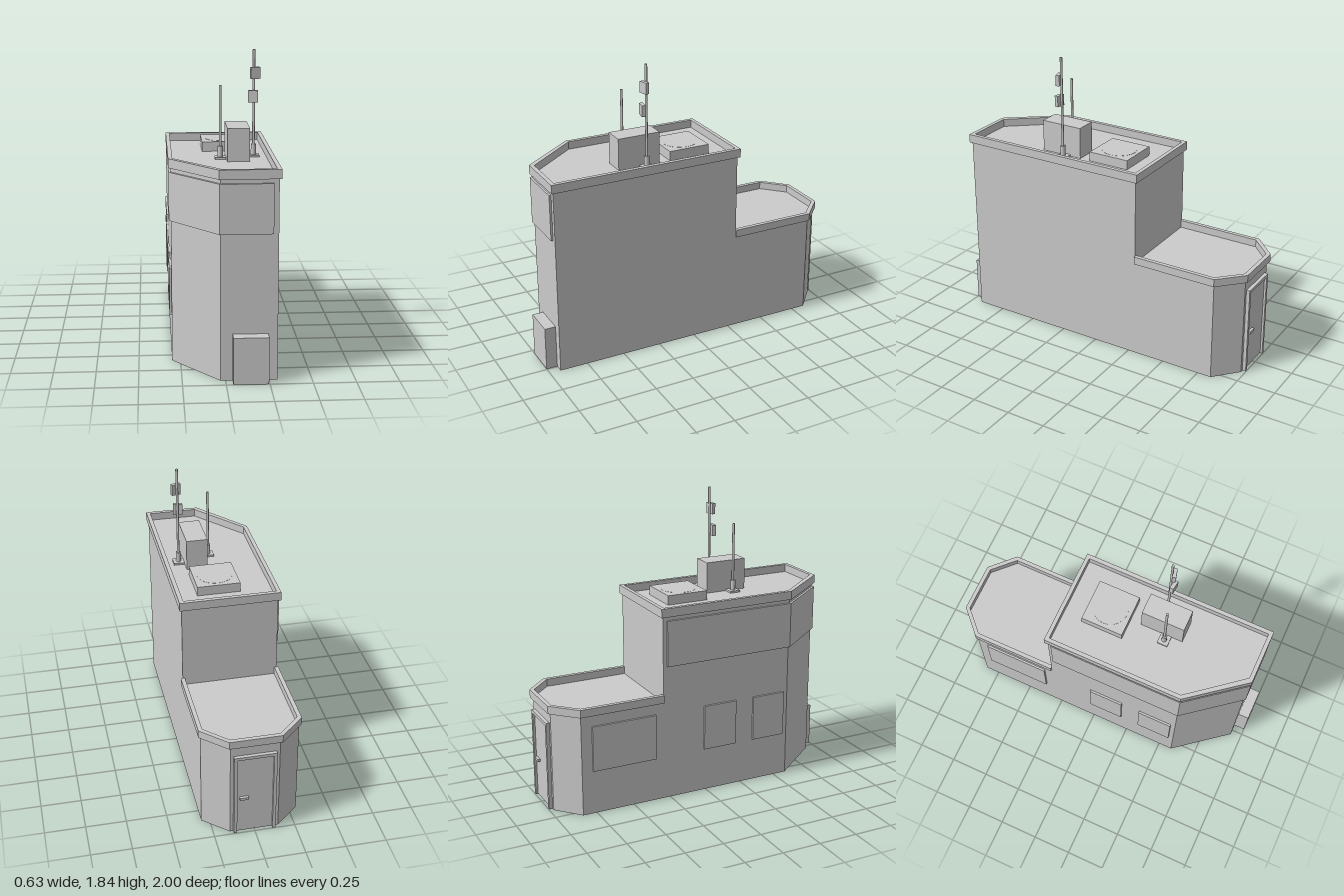
import * as THREE from 'three';

const material = new THREE.MeshStandardMaterial({ color: 0xcccccc, flatShading: true, side: THREE.DoubleSide });
const smooth = new THREE.MeshStandardMaterial({ color: 0xcccccc });

export function createModel() {
  const model = new THREE.Group();

  function add(name, geometry, mat = material, parent = model) {
    const mesh = new THREE.Mesh(geometry, mat);
    mesh.name = name;
    parent.add(mesh);
    return mesh;
  }

  // Box given by its limits on each axis
  function box(name, [x0, x1], [y0, y1], [z0, z1], parent = model) {
    const mesh = add(name, new THREE.BoxGeometry(x1 - x0, y1 - y0, z1 - z0), material, parent);
    mesh.position.set((x0 + x1) / 2, (y0 + y1) / 2, (z0 + z1) / 2);
    return mesh;
  }

  // Plan outlines are [x, z] pairs; shapes are drawn in (x, -z) and laid flat
  const toPoints = (plan) => plan.map(([x, z]) => new THREE.Vector2(x, -z));

  function prism(name, plan, y0, y1, hole) {
    const shape = new THREE.Shape(toPoints(plan));
    if (hole) shape.holes.push(new THREE.Path(toPoints(hole)));
    const geometry = new THREE.ExtrudeGeometry(shape, { depth: y1 - y0, bevelEnabled: false });
    geometry.rotateX(-Math.PI / 2).translate(0, y0, 0);
    return add(name, geometry);
  }

  function deck(name, plan, y) {
    const geometry = new THREE.ShapeGeometry(new THREE.Shape(toPoints(plan)));
    geometry.rotateX(-Math.PI / 2).translate(0, y, 0);
    return add(name, geometry);
  }

  // Single-sheet wall following a closed plan, counter-clockwise from above
  function walls(name, plan, y0, y1) {
    const v = [];
    plan.forEach(([ax, az], i) => {
      const [bx, bz] = plan[(i + 1) % plan.length];
      v.push(ax, y0, az, bx, y0, bz, bx, y1, bz, ax, y0, az, bx, y1, bz, ax, y1, az);
    });
    const geometry = new THREE.BufferGeometry();
    geometry.setAttribute('position', new THREE.Float32BufferAttribute(v, 3));
    geometry.computeVertexNormals();
    return add(name, geometry);
  }

  // Building shell, open underneath
  const front = [[-0.3, 0.59], [-0.03, 0.93], [0.3, 0.93]];
  const rear = [[0.3, -0.84], [0.15, -0.975], [-0.15, -0.975], [-0.3, -0.84]];
  const towerPlan = [...front, [0.3, -0.295], [-0.3, -0.295]];
  walls('lowerWalls', [...front, ...rear], 0, 0.64);
  walls('towerWalls', towerPlan, 0.64, 1.19);
  deck('towerRoof', towerPlan, 1.19);
  deck('terraceFloor', [[0.3, -0.295], ...rear, [-0.3, -0.295]], 0.642);

  // Parapets
  prism('towerParapet',
    [[-0.315, 0.595], [-0.04, 0.943], [0.313, 0.943], [0.313, -0.31], [-0.315, -0.31]], 1.185, 1.24,
    [[-0.29, 0.585], [-0.02, 0.917], [0.287, 0.917], [0.287, -0.285], [-0.29, -0.285]]);
  prism('terraceParapet', [
    [0.313, -0.295], [0.313, -0.845], [0.16, -0.993], [-0.16, -0.993], [-0.313, -0.845], [-0.313, -0.295],
    [-0.287, -0.295], [-0.287, -0.833], [-0.15, -0.967], [0.15, -0.967], [0.287, -0.833], [0.287, -0.295],
  ], 0.64, 0.69);

  // Fascia panel wrapping the side, the angled corner and the front
  prism('fasciaPanel', [
    [-0.313, -0.27], [-0.313, 0.595], [-0.037, 0.943], [0.27, 0.943],
    [0.27, 0.93], [-0.03, 0.93], [-0.3, 0.59], [-0.3, -0.27],
  ], 0.87, 1.16);

  // Windows on the right-hand side
  for (const [z0, z1] of [[-0.77, -0.35], [-0.015, 0.21], [0.335, 0.56]]) {
    box('window', [-0.313, -0.3], [0.28, 0.57], [z0, z1]);
  }

  // Back door with frame and handle
  const door = new THREE.Group();
  door.name = 'backDoor';
  model.add(door);
  box('doorLeaf', [-0.11, 0.11], [0.005, 0.55], [-0.983, -0.975], door);
  for (const s of [-1, 1]) {
    box('doorJamb', [s * 0.12 - 0.01, s * 0.12 + 0.01], [0, 0.57], [-0.997, -0.975], door);
  }
  box('doorLintel', [-0.11, 0.11], [0.55, 0.57], [-0.997, -0.975], door);
  box('doorHandle', [0.04, 0.095], [0.25, 0.268], [-1, -0.983], door);

  // Cabinet at the foot of the front wall
  box('frontCabinet', [0.04, 0.245], [0, 0.28], [0.93, 1]);

  // Rooftop equipment
  box('coolingUnit', [-0.095, 0.175], [1.19, 1.25], [-0.16, 0.11]);
  add('coolingFan', new THREE.CylinderGeometry(0.11, 0.11, 0.004, 32), smooth).position.set(0.04, 1.249, -0.025);
  box('roofHousing', [0.04, 0.175], [1.19, 1.39], [0.18, 0.455]);

  // Masts: base plate, socket and pole
  function mast(x, z, top) {
    const group = new THREE.Group();
    group.name = 'mast';
    group.position.set(x, 0, z);
    model.add(group);
    box('mastPlate', [-0.034, 0.034], [1.19, 1.202], [-0.034, 0.034], group);
    add('mastSocket', new THREE.CylinderGeometry(0.016, 0.016, 0.065, 16), smooth, group).position.y = 1.234;
    add('mastPole', new THREE.CylinderGeometry(0.008, 0.008, top - 1.2, 12), smooth, group).position.y = (top + 1.2) / 2;
    return group;
  }
  mast(0.004, 0.35, 1.635);
  const tall = mast(0.21, 0.285, 1.84);
  for (const [x, y, z, turn] of [[0.006, 1.7, 0.014, 0.25], [-0.006, 1.56, 0.022, -0.15]]) {
    const panel = add('antennaPanel', new THREE.BoxGeometry(0.058, 0.07, 0.024), material, tall);
    panel.position.set(x, y, z);
    panel.rotation.y = turn;
  }

  return model;
}
